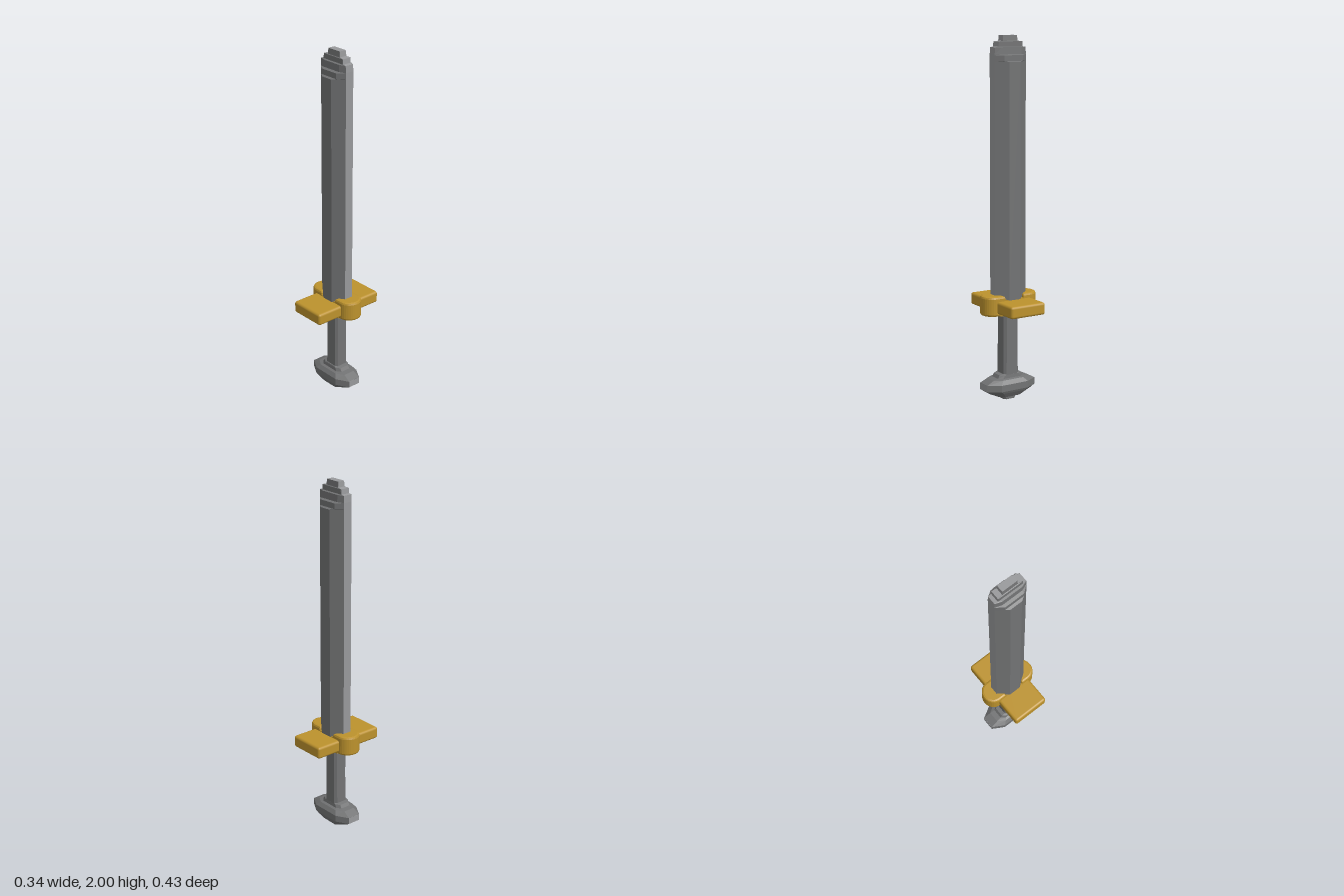
import * as THREE from 'three';
import { RoundedBoxGeometry } from 'three/addons/geometries/RoundedBoxGeometry.js';

const steel = new THREE.MeshStandardMaterial({ color: 0x727374 });
steel.name = 'steel';
const brightSteel = new THREE.MeshStandardMaterial({ color: 0x98999b });
brightSteel.name = 'bright steel';
const gold = new THREE.MeshStandardMaterial({ color: 0xbc922d });
gold.name = 'gold';

// Octagon with half sizes hx, hz and half lengths fx, fz of its flats;
// side 0 faces +x and side 4 faces -x.
function ring([y, hx, hz, fx, fz]) {
  return [[hx, -fz], [hx, fz], [fx, hz], [-fx, hz], [-hx, fz], [-hx, -fz], [-fx, -hz], [fx, -hz]]
    .map(([x, z]) => [x, y, z]);
}

// Faceted loft through octagons; the +x and -x sides (and optionally the top) use material 1.
function loft(sections, brightTop = false) {
  const rings = sections.map(ring);
  const groups = [[], []];
  for (let k = 0; k < rings.length - 1; k++) {
    const lo = rings[k], hi = rings[k + 1];
    for (let i = 0; i < 8; i++) {
      const j = (i + 1) % 8;
      groups[i % 4 === 0 ? 1 : 0].push(lo[i], hi[i], lo[j], lo[j], hi[i], hi[j]);
    }
  }
  const first = rings[0], last = rings[rings.length - 1];
  for (let i = 1; i < 7; i++) {
    groups[0].push(first[0], first[i], first[i + 1]);
    groups[brightTop ? 1 : 0].push(last[0], last[i + 1], last[i]);
  }
  const geo = new THREE.BufferGeometry();
  geo.setAttribute('position', new THREE.Float32BufferAttribute(groups.flat(2), 3));
  geo.addGroup(0, groups[0].length, 0);
  geo.addGroup(groups[0].length, groups[1].length, 1);
  geo.computeVertexNormals();
  return geo;
}

function add(parent, name, geometry, material, x = 0, y = 0, z = 0) {
  const mesh = new THREE.Mesh(geometry, material);
  mesh.name = name;
  mesh.position.set(x, y, z);
  parent.add(mesh);
  return mesh;
}

// Half-round boss at one end of the guard, pointing to +x
function bossGeometry() {
  const s = new THREE.Shape();
  const b = 0.012, r = 0.066 - b;
  s.moveTo(0.07, -r);
  s.lineTo(0.105, -r);
  s.absellipse(0.105, 0, 0.063 - b, r, -Math.PI / 2, Math.PI / 2, false);
  s.lineTo(0.07, r);
  s.closePath();
  const geo = new THREE.ExtrudeGeometry(s, {
    depth: 0.11 - 2 * b, bevelThickness: b, bevelSize: b, bevelSegments: 2, curveSegments: 8,
  });
  geo.translate(0, 0, b);
  geo.rotateX(-Math.PI / 2);
  return geo;
}

export function createModel() {
  const model = new THREE.Group();
  model.name = 'sword';

  // Blade with a stepped tip
  add(model, 'blade', loft([
    [0.54, 0.098, 0.07, 0.035, 0.025],
    [1.86, 0.098, 0.07, 0.035, 0.025],
    [1.865, 0.098, 0.056, 0.058, 0.025],
    [1.895, 0.098, 0.056, 0.058, 0.025],
    [1.9, 0.098, 0.04, 0.06, 0.025],
    [1.937, 0.096, 0.038, 0.06, 0.025],
    [1.94, 0.077, 0.027, 0.074, 0.025],
    [1.967, 0.075, 0.027, 0.072, 0.025],
    [1.97, 0.047, 0.023, 0.046, 0.022],
    [2.0, 0.045, 0.02, 0.044, 0.019],
  ], true), [steel, brightSteel], 0, 0, -0.005);

  // Guard: a flat crosspiece, a low collar and two rounded bosses
  const guard = new THREE.Group();
  guard.name = 'guard';
  model.add(guard);
  add(guard, 'crosspiece', new RoundedBoxGeometry(0.218, 0.068, 0.43, 2, 0.014), gold, 0, 0.539, 0);
  add(guard, 'collar', new THREE.BoxGeometry(0.18, 0.088, 0.132), gold, 0, 0.534, -0.006);
  for (const side of [0, 1]) {
    const boss = add(guard, side ? 'rightBoss' : 'leftBoss', bossGeometry(), gold, 0, 0.49, -0.006);
    boss.rotation.y = side * Math.PI;
  }

  // Grip
  add(model, 'grip', loft([
    [0.13, 0.048, 0.043, 0.034, 0.03],
    [0.3, 0.046, 0.042, 0.032, 0.03],
    [0.5, 0.045, 0.042, 0.032, 0.03],
  ]), [steel, steel], 0, 0, -0.003);

  // Lens-shaped pommel with bright ends
  add(model, 'pommel', loft([
    [0, 0.036, 0.03, 0.025, 0.018],
    [0.018, 0.045, 0.032, 0.03, 0.02],
    [0.022, 0.075, 0.054, 0.045, 0.03],
    [0.05, 0.135, 0.072, 0.07, 0.036],
    [0.063, 0.155, 0.078, 0.085, 0.038],
    [0.1, 0.155, 0.078, 0.085, 0.038],
    [0.122, 0.11, 0.062, 0.065, 0.034],
    [0.127, 0.08, 0.048, 0.055, 0.03],
    [0.145, 0.07, 0.046, 0.045, 0.03],
    [0.15, 0.05, 0.044, 0.034, 0.03],
  ]), [steel, steel]);
  for (const s of [-1, 1]) {
    add(model, s > 0 ? 'leftPommelEnd' : 'rightPommelEnd',
      new THREE.BoxGeometry(0.004, 0.036, 0.074), brightSteel, s * 0.154, 0.0815, 0);
  }

  return model;
}
